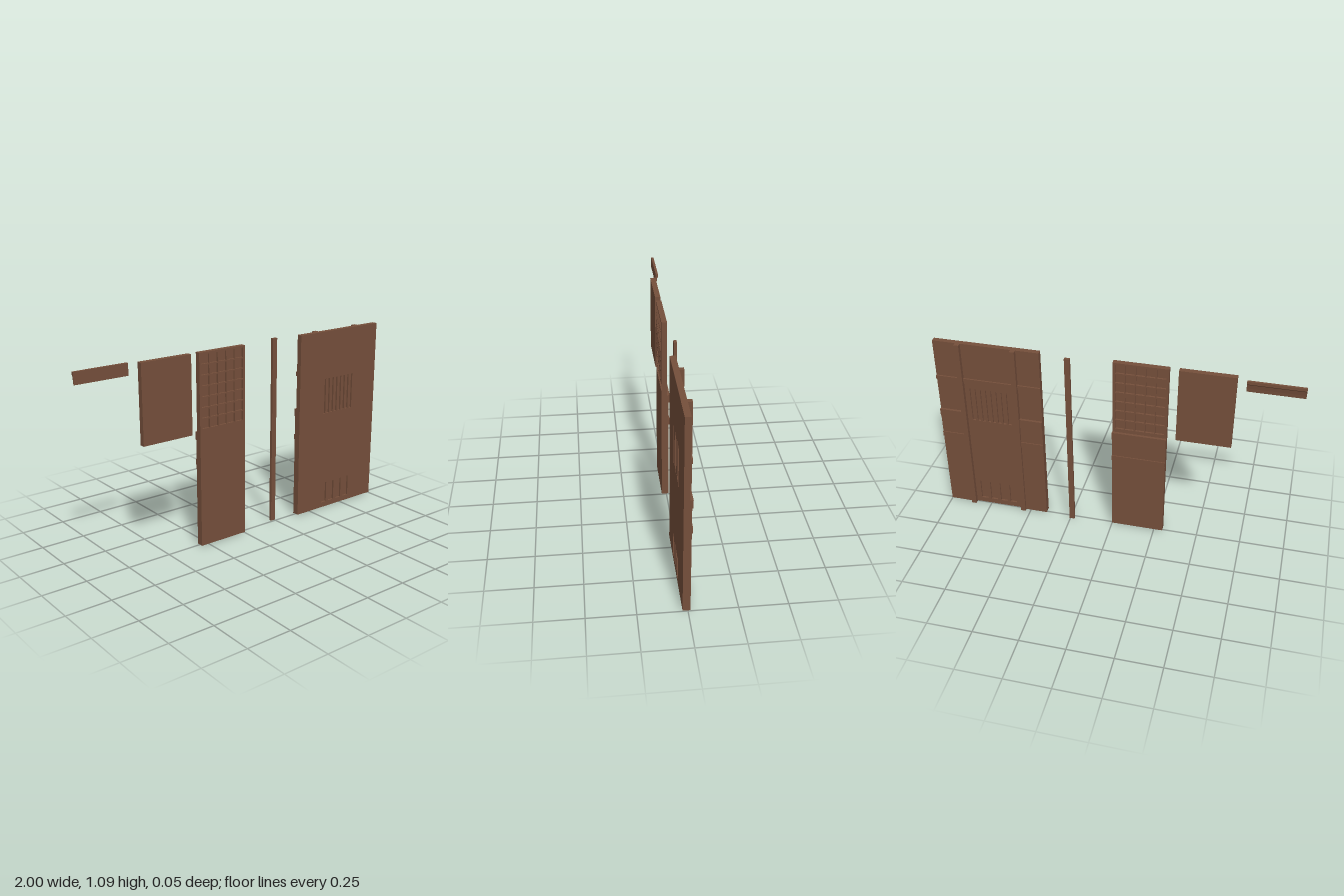
import * as THREE from 'three';

const FRONT = 0.027, BACK = -0.003, TOP = 1.09, BASE = 0.004;

export function createModel() {
  const group = new THREE.Group();
  const wood = new THREE.MeshStandardMaterial({ color: 0x754f3b });

  const add = (name, geometry) => {
    const mesh = new THREE.Mesh(geometry, wood);
    mesh.name = name;
    group.add(mesh);
    return mesh;
  };

  // Box given by its limits on each axis
  const block = (name, x0, x1, y0, y1, z0, z1) =>
    add(name, new THREE.BoxGeometry(x1 - x0, y1 - y0, z1 - z0))
      .position.set((x0 + x1) / 2, (y0 + y1) / 2, (z0 + z1) / 2);

  const rect = (target, x0, x1, y0, y1) => {
    target.moveTo(x0, y0);
    target.lineTo(x1, y0);
    target.lineTo(x1, y1);
    target.lineTo(x0, y1);
    target.closePath();
    return target;
  };

  // Wall panel with openings [x0, x1, y0, y1]
  const panel = (name, x0, x1, openings) => {
    const shape = rect(new THREE.Shape(), x0, x1, BASE, TOP);
    openings.forEach(o => shape.holes.push(rect(new THREE.Path(), ...o)));
    const geometry = new THREE.ExtrudeGeometry(shape, { depth: FRONT - BACK, bevelEnabled: false });
    geometry.translate(0, 0, BACK);
    add(name, geometry);
  };

  // Row and column layout of equal openings
  const grid = (x, y, columns, rows, width, height, pitchX, pitchY) => {
    const cells = [];
    for (let i = 0; i < columns; i++) {
      for (let j = 0; j < rows; j++) {
        const cx = x + i * pitchX, cy = y + j * pitchY;
        cells.push([cx, cx + width, cy, cy + height]);
      }
    }
    return cells;
  };

  // Raised lower boarding on the back with its two rails
  const wainscot = (x0, x1) => {
    block('wainscotBoard', x0, x1, BASE, 0.655, -0.012, BACK);
    block('upperWainscotRail', x0, x1, 0.61, 0.655, -0.018, -0.012);
    block('lowerWainscotRail', x0, x1, 0.47, 0.5, -0.018, -0.012);
  };

  // Crown moulding strip, flat in front and stepped behind
  const profile = new THREE.Shape([
    [0.010, 1.025], [0.013, 1.025], [0.015, 1.045], [0.019, 1.068],
    [0.024, 1.074], [0.024, TOP], [0.010, TOP],
  ].map(p => new THREE.Vector2(...p)));
  const crown = new THREE.ExtrudeGeometry(profile, { depth: 0.3, bevelEnabled: false });
  crown.rotateY(Math.PI / 2);
  crown.scale(1, 1, 1);
  crown.translate(-1, 0, 0);
  add('crownMoulding', crown);

  // Plain short panel
  block('shortPanel', -0.65, -0.35, 0.655, TOP, BACK, FRONT);

  // Lattice panel, closed by a thin sheet behind the bars
  panel('latticePanel', -0.3, 0, grid(-0.286, 0.677, 5, 7, 0.049, 0.051, 0.0555, 0.0585));
  block('latticeBacking', -0.29, -0.01, 0.67, 1.085, 0.008, 0.016);
  wainscot(-0.3, 0);

  // Loose batten
  block('batten', 0.225, 0.255, 0, TOP, -0.026, -0.01);

  // Wide panel with ventilation slots and floor vents
  panel('widePanel', 0.4, 1, [
    ...grid(0.583, 0.6, 8, 1, 0.018, 0.21, 0.0303, 0),
    ...grid(0.588, 0.035, 4, 1, 0.04, 0.125, 0.0605, 0),
  ]);
  block('slotBacking', 0.575, 0.82, 0.595, 0.815, 0.008, 0.016);
  block('ventBacking', 0.58, 0.82, 0.03, 0.165, 0.008, 0.016);
  block('highRail', 0.4, 1, 0.85, 0.875, -0.012, BACK);
  for (const side of [-1, 1]) {
    const post = 0.699 + side * 0.156;
    block('post', post - 0.014, post + 0.014, 0, TOP, -0.026, BACK);
    if (side < 0) wainscot(0.4, post - 0.014);
    else wainscot(post + 0.014, 1);
  }

  return group;
}
